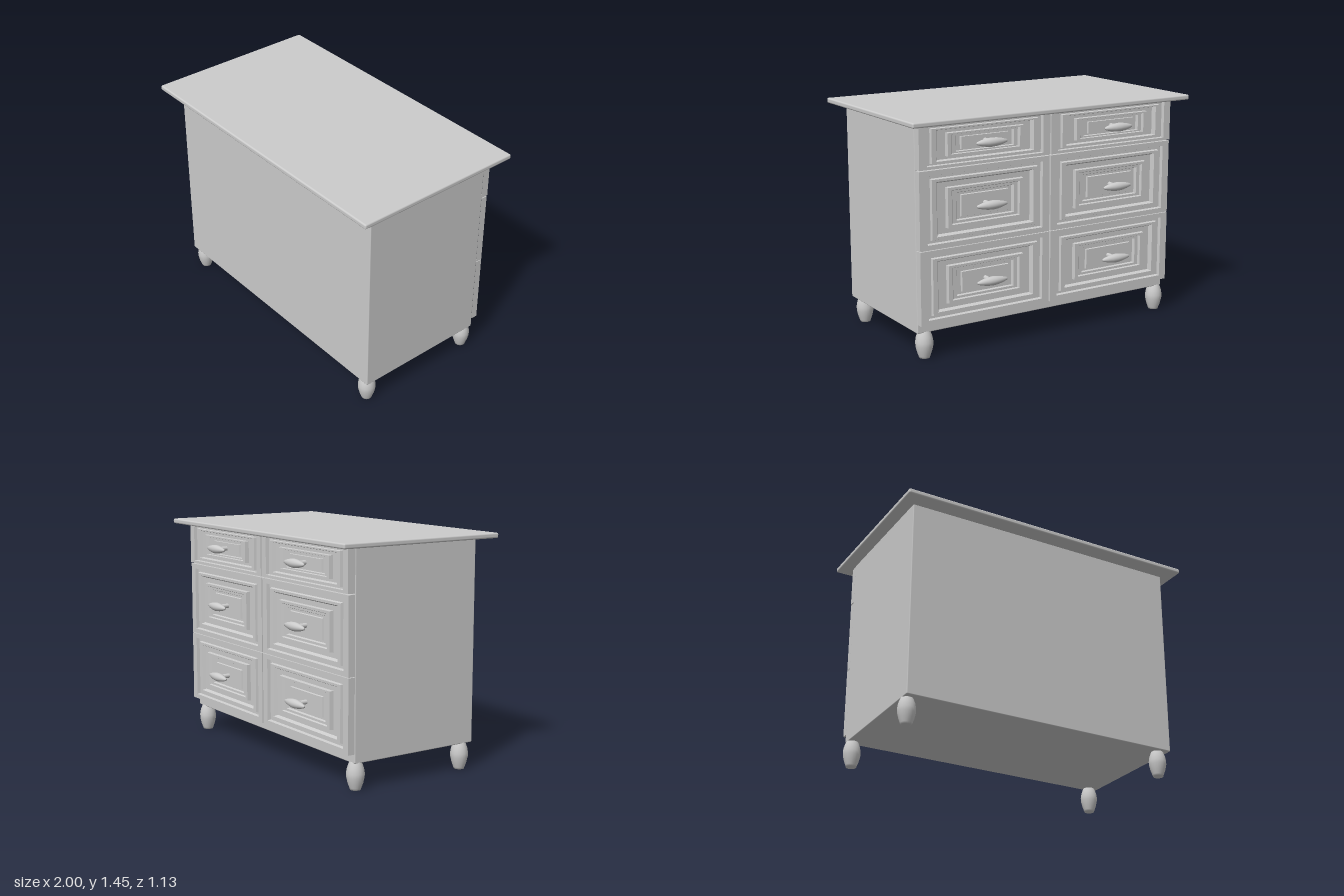
import * as THREE from 'three';
import { RoundedBoxGeometry } from 'three/addons/geometries/RoundedBoxGeometry.js';

const smooth = new THREE.MeshStandardMaterial({ color: 0xcccccc });
const faceted = new THREE.MeshStandardMaterial({ color: 0xcccccc, flatShading: true });

function add(parent, name, geometry, material, x, y, z) {
  const mesh = new THREE.Mesh(geometry, material);
  mesh.name = name;
  mesh.position.set(x, y, z);
  parent.add(mesh);
  return mesh;
}

// Moulded panel facing +z: nested rectangles, each [x inset, y inset, height]
function mouldedPanel(width, height, profile) {
  const rings = profile.map(([ix, iy, d]) => {
    const w = width / 2 - ix, h = height / 2 - iy;
    return [[-w, -h, d], [w, -h, d], [w, h, d], [-w, h, d]];
  });
  const pos = [];
  const quad = (a, b, c, d) => pos.push(...a, ...b, ...c, ...a, ...c, ...d);
  for (let i = 0; i < rings.length - 1; i++) {
    for (let j = 0; j < 4; j++) {
      const k = (j + 1) % 4;
      quad(rings[i][j], rings[i][k], rings[i + 1][k], rings[i + 1][j]);
    }
  }
  quad(...rings[rings.length - 1]);
  const geometry = new THREE.BufferGeometry();
  geometry.setAttribute('position', new THREE.Float32BufferAttribute(pos, 3));
  geometry.computeVertexNormals();
  return geometry;
}

// Drawer front with its handle, built facing +z
function createDrawer(width, height, depth) {
  const drawer = new THREE.Group();
  drawer.name = 'drawer';
  const s = height / 0.46;
  const profile = [
    [0, 0, 0], [0, 0, depth],
    [0.05, 0.03, depth], [0.055, 0.035, depth - 0.02],
    [0.08, 0.05, depth - 0.02], [0.085, 0.055, depth - 0.004],
    [0.115, 0.07, depth - 0.004], [0.13, 0.08, depth - 0.026],
    [0.185, 0.11, depth - 0.026], [0.19, 0.113, depth - 0.002],
    [0.215, 0.128, depth - 0.002], [0.225, 0.133, depth - 0.014],
    [0.25, 0.147, depth - 0.014], [0.26, 0.152, depth - 0.028],
    [0.285, 0.165, depth - 0.028], [0.29, 0.168, depth - 0.018]
  ].map(([x, y, d]) => [x, y * s, d]);
  add(drawer, 'drawerFront', mouldedPanel(width, height, profile), faceted, 0, 0, 0);

  // Stem and spindle-shaped pull
  const stem = new THREE.CylinderGeometry(0.012, 0.015, 0.085, 12);
  stem.rotateX(Math.PI / 2);
  add(drawer, 'handleStem', stem, smooth, 0, 0, 0.065);
  const points = [[0, -0.105], [0.009, -0.1], [0.018, -0.07], [0.025, -0.035], [0.028, 0],
    [0.025, 0.035], [0.018, 0.07], [0.009, 0.1], [0, 0.105]].map(p => new THREE.Vector2(...p));
  const grip = new THREE.LatheGeometry(points, 16);
  grip.rotateZ(Math.PI / 2);
  add(drawer, 'handleGrip', grip, smooth, 0, 0, 0.109);
  return drawer;
}

export function createModel() {
  const model = new THREE.Group();
  model.name = 'dresser';

  // Carcass and overhanging top
  add(model, 'body', new RoundedBoxGeometry(1.84, 1.26, 0.885, 2, 0.006), smooth, 0, 0.793, 0.0125);
  add(model, 'topBoard', new RoundedBoxGeometry(2, 0.032, 1.13, 3, 0.01), smooth, 0, 1.434, 0);

  // Three rows of drawers in two columns on the -z side
  const columns = [[0.015, 0.917], [-0.917, 0.005]];
  const rows = [[0.22, 0.672, 0.045], [0.676, 1.148, 0.045], [1.155, 1.42, 0.049]];
  for (const [x0, x1] of columns) {
    for (const [y0, y1, depth] of rows) {
      const drawer = createDrawer(x1 - x0, y1 - y0, depth);
      drawer.position.set((x0 + x1) / 2, (y0 + y1) / 2, -0.43);
      drawer.rotation.y = Math.PI;
      model.add(drawer);
    }
  }

  // Turned bun feet
  const footPoints = [[0, 0], [0.032, 0], [0.036, 0.012], [0.046, 0.04], [0.054, 0.075], [0.055, 0.1],
    [0.05, 0.13], [0.041, 0.155], [0.034, 0.17]].map(p => new THREE.Vector2(...p));
  const footGeometry = new THREE.LatheGeometry(footPoints, 20);
  for (const [x, z] of [[0.855, 0.4], [-0.885, 0.385], [0.86, -0.4], [-0.885, -0.4]]) {
    add(model, 'foot', footGeometry, smooth, x, 0, z);
  }
  return model;
}
